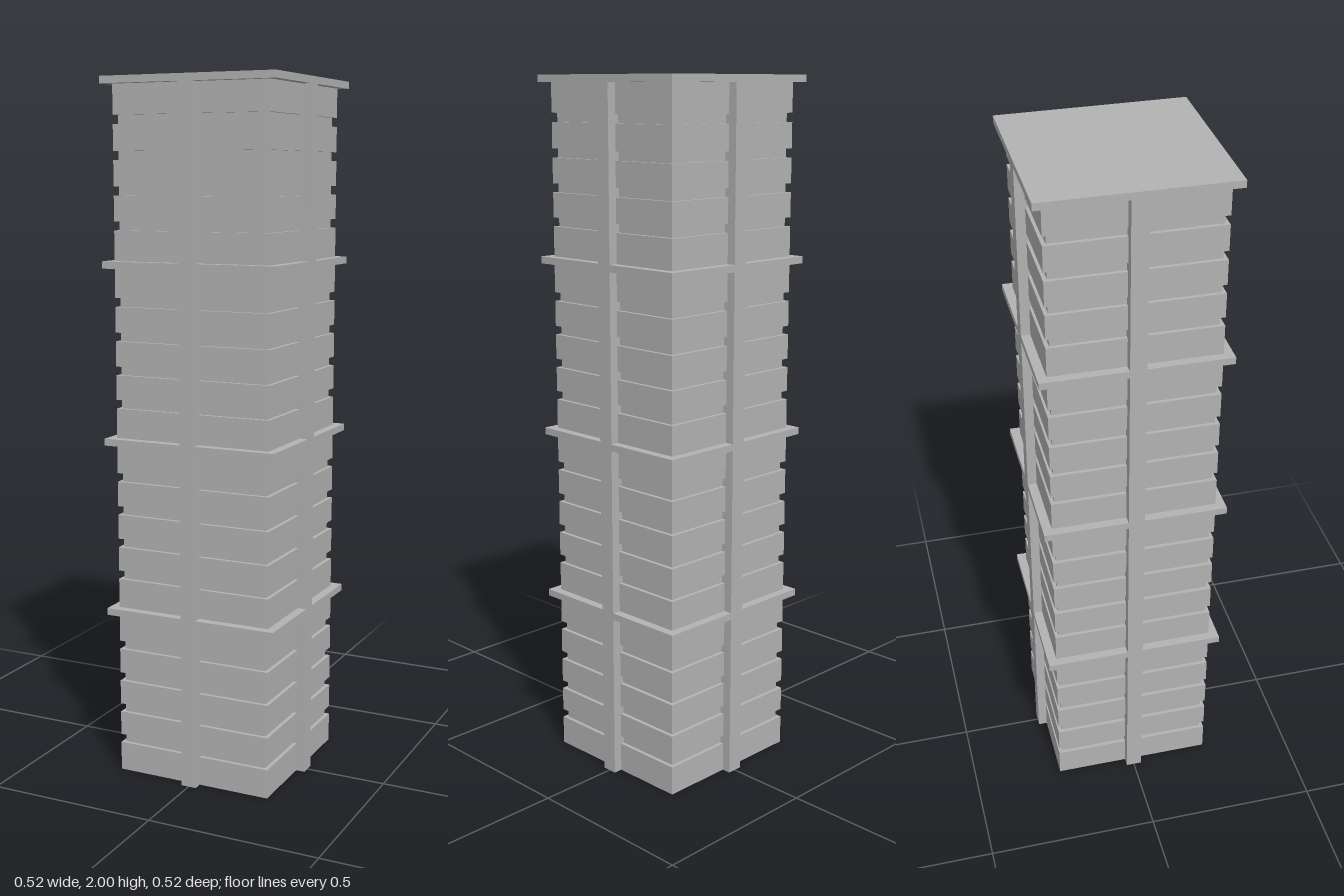
import * as THREE from 'three';

export function createModel() {
  const tower = new THREE.Group();
  tower.name = 'tower';
  const concrete = new THREE.MeshStandardMaterial({ color: 0xb2b2b2 });
  concrete.name = 'concrete grey';

  // Box centred on the vertical axis, spanning y0 to y1
  function block(name, width, depth, y0, y1) {
    const mesh = new THREE.Mesh(new THREE.BoxGeometry(width, y1 - y0, depth), concrete);
    mesh.name = name;
    mesh.position.y = (y0 + y1) / 2;
    tower.add(mesh);
  }

  const outer = 0.524, wall = 0.472, inner = 0.45;
  const slab = 0.02, groove = 0.025, sections = 4, sectionHeight = 0.5;
  const grooveCentres = [0.097, 0.192, 0.288, 0.385];

  // Recessed core seen in the grooves between floors
  block('core', inner, inner, 0, 2 - slab);

  // Each section has five floor bands topped by a projecting slab
  for (let s = 0; s < sections; s++) {
    const base = s * sectionHeight;
    let bottom = 0;
    for (const centre of grooveCentres) {
      block('floorBand', wall, wall, base + bottom, base + centre - groove / 2);
      bottom = centre + groove / 2;
    }
    block('floorBand', wall, wall, base + bottom, base + sectionHeight - slab);
    block('slab', outer, outer, base + sectionHeight - slab, base + sectionHeight);
  }

  // Full-height fins down the middle of all four sides
  block('sideFins', outer, 0.046, 0, 2 - slab);
  block('frontAndBackFins', 0.046, outer, 0, 2 - slab);

  return tower;
}
